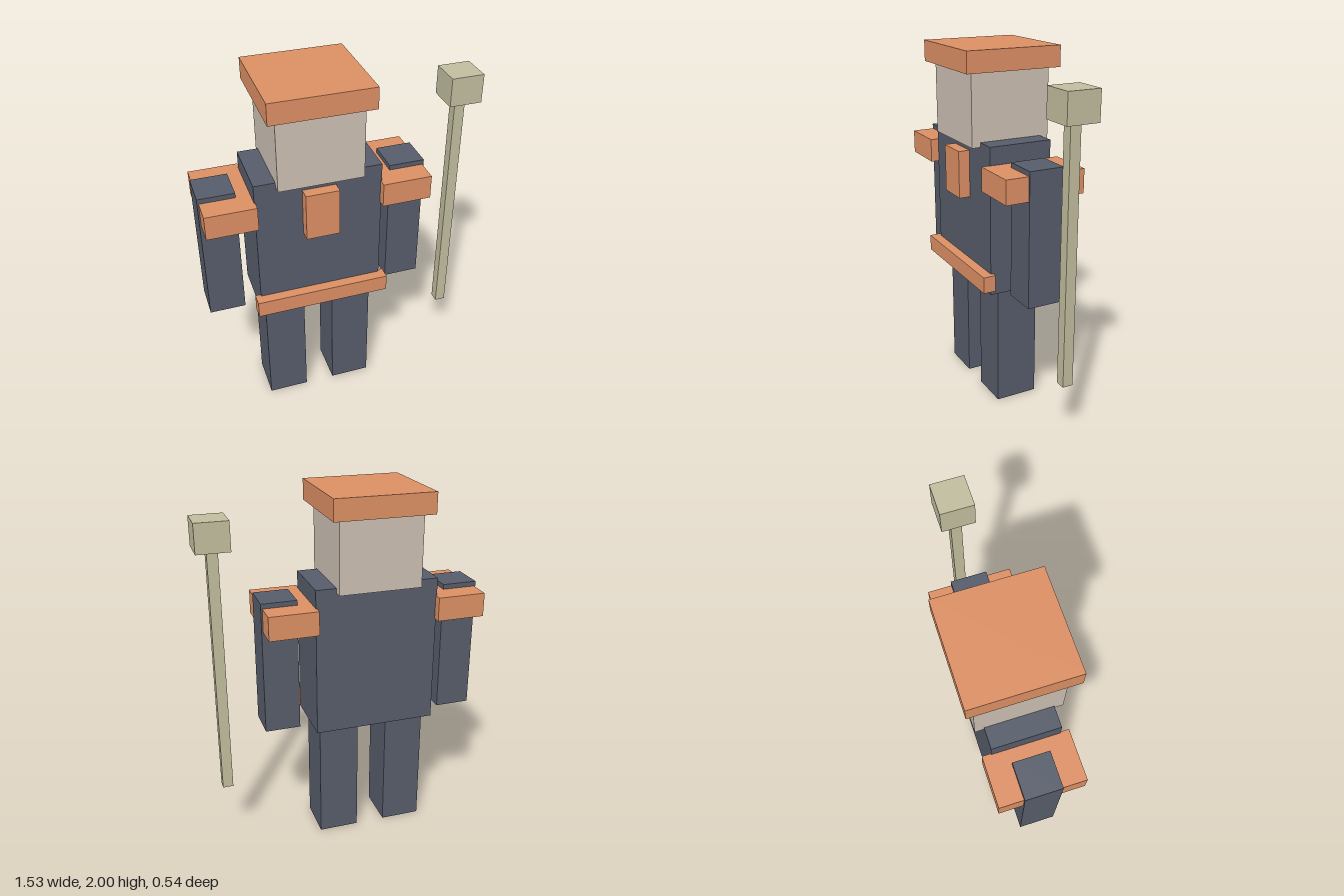
import * as THREE from 'three';

export function createModel() {
  const model = new THREE.Group();
  const paint = (color) => new THREE.MeshStandardMaterial({ color, flatShading: true });
  const cloth = paint(0x565c6a);
  const trim = paint(0xdc8f64);
  const skin = paint(0xcbbfb3);
  const wood = paint(0xc1bd9e);

  // The figure stands left of centre to make room for the staff
  const bodyX = -0.157;
  const midZ = -0.003;

  // Box from its centre x, vertical span, width, depth and centre z
  const box = (name, material, x, y0, y1, width, depth, z = midZ) => {
    const mesh = new THREE.Mesh(new THREE.BoxGeometry(width, y1 - y0, depth), material);
    mesh.name = name;
    mesh.position.set(x, (y0 + y1) / 2, z);
    model.add(mesh);
  };

  // Head and flat cap
  box('head', skin, bodyX, 1.494, 1.886, 0.453, 0.453);
  box('cap', trim, bodyX, 1.886, 2, 0.543, 0.543);

  // Torso with chest panel and front belt
  box('torso', cloth, bodyX, 0.694, 1.52, 0.678, 0.358);
  box('chestPanel', trim, bodyX, 1.186, 1.449, 0.18, 0.07, 0.204);
  box('belt', trim, bodyX, 0.726, 0.818, 0.736, 0.071, 0.197);

  // Paired limbs and shoulder pads
  for (const [side, s] of [['left', 1], ['right', -1]]) {
    box(side + 'Leg', cloth, bodyX + s * 0.195, 0, 0.694, 0.224, 0.241);
    box(side + 'Arm', cloth, bodyX + s * 0.512, 0.707, 1.449, 0.195, 0.195);
    box(side + 'ShoulderPad', trim, bodyX + s * 0.467, 1.29, 1.422, 0.268, 0.451);
  }

  // Staff beside the left hand
  box('staffShaft', wood, 0.67, 0.352, 1.732, 0.058, 0.058);
  box('staffHead', wood, 0.673, 1.732, 1.889, 0.178, 0.178);

  return model;
}
